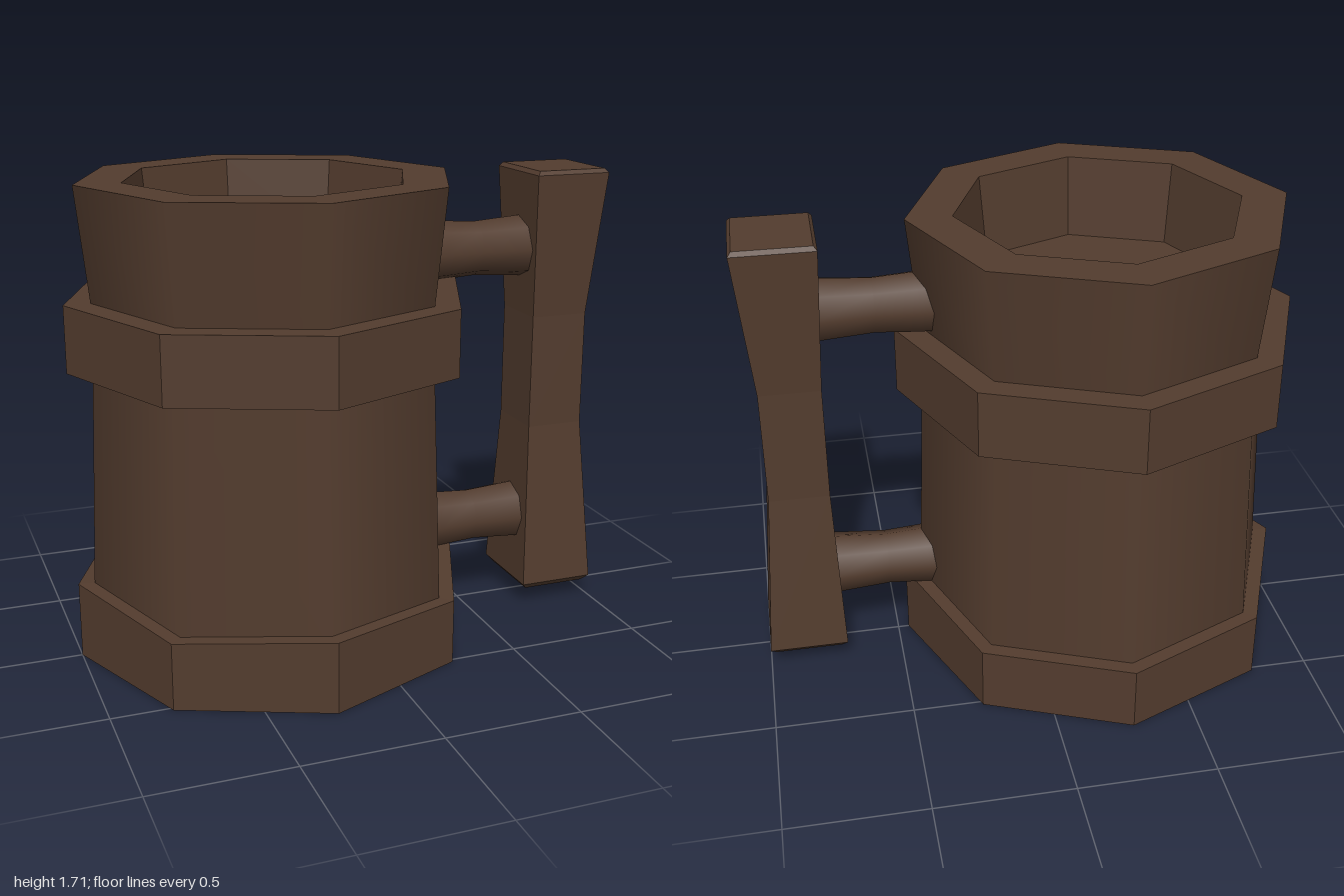
import * as THREE from 'three';

const wood = new THREE.MeshStandardMaterial({ color: 0x533c2e });
wood.name = 'dark wood';

// Unshared corners give every face its own flat normal
function faceted(geometry) {
  const flat = geometry.index ? geometry.toNonIndexed() : geometry;
  flat.computeVertexNormals();
  return flat;
}

function part(name, geometry, parent, x = 0, y = 0) {
  const mesh = new THREE.Mesh(geometry, wood);
  mesh.name = name;
  mesh.position.set(x, y, 0);
  parent.add(mesh);
  return mesh;
}

const lathe = (points, sides) =>
  new THREE.LatheGeometry(points.map(([r, y]) => new THREE.Vector2(r, y)), sides);

// Octagonal base whose top corners rise and fall slightly
function baseGeometry() {
  const g = new THREE.CylinderGeometry(0.73, 0.73, 0.25, 8);
  g.translate(0, 0.125, 0);
  const heights = [0.26, 0.24, 0.27, 0.24, 0.24, 0.25, 0.28, 0.245]; // from +z round to +x
  const p = g.attributes.position;
  for (let i = 0; i < p.count; i++) {
    if (p.getY(i) < 0.1 || Math.hypot(p.getX(i), p.getZ(i)) < 0.1) continue;
    const corner = Math.round(Math.atan2(p.getX(i), p.getZ(i)) / (Math.PI / 4));
    p.setY(i, heights[(corner + 8) % 8]);
  }
  return faceted(g);
}

// Square grip with a narrow waist and chamfered ends
function gripGeometry() {
  // y, inner x, outer x, half depth
  const rows = [
    [0.06, 0.73, 0.975, 0.145],
    [0.085, 0.708, 0.998, 0.168],
    [0.72, 0.73, 0.95, 0.12],
    [1.15, 0.73, 0.95, 0.12],
    [1.685, 0.708, 0.998, 0.162],
    [1.7, 0.72, 0.985, 0.15],
  ];
  const g = new THREE.BoxGeometry(1, 1, 1, 1, rows.length - 1, 1);
  const p = g.attributes.position;
  for (let i = 0; i < p.count; i++) {
    const [y, inner, outer, depth] = rows[Math.round((p.getY(i) + 0.5) * (rows.length - 1))];
    p.setXYZ(i, p.getX(i) < 0 ? inner : outer, y, Math.sign(p.getZ(i)) * depth);
  }
  return faceted(g);
}

export function createModel() {
  const model = new THREE.Group();
  model.name = 'tankard';

  // Vessel
  const vessel = new THREE.Group();
  vessel.name = 'vessel';
  vessel.position.x = -0.27;
  model.add(vessel);
  part('base', baseGeometry(), vessel);
  part('lowerWall', lathe([[0.675, 0.2], [0.638, 1.1]], 8), vessel);
  part('band', faceted(new THREE.CylinderGeometry(0.73, 0.73, 0.24, 8)), vessel, 0, 1.185);
  part('upperWall', lathe([[0.632, 1.27], [0.677, 1.71]], 8), vessel);
  part('rimAndHollow', faceted(lathe([[0.677, 1.71], [0.512, 1.71], [0.482, 1.41], [0, 1.41]], 8)), vessel);

  // Handle: grip held by two waisted pegs
  const handle = new THREE.Group();
  handle.name = 'handle';
  model.add(handle);
  part('grip', gripGeometry(), handle);
  for (const [name, y] of [['upperPeg', 1.405], ['lowerPeg', 0.345]]) {
    const peg = part(name, lathe([[0.115, 0], [0.112, 0.1], [0.102, 0.25], [0.117, 0.46]], 8), handle, 0.28, y);
    peg.rotation.z = -Math.PI / 2;
  }
  return model;
}
